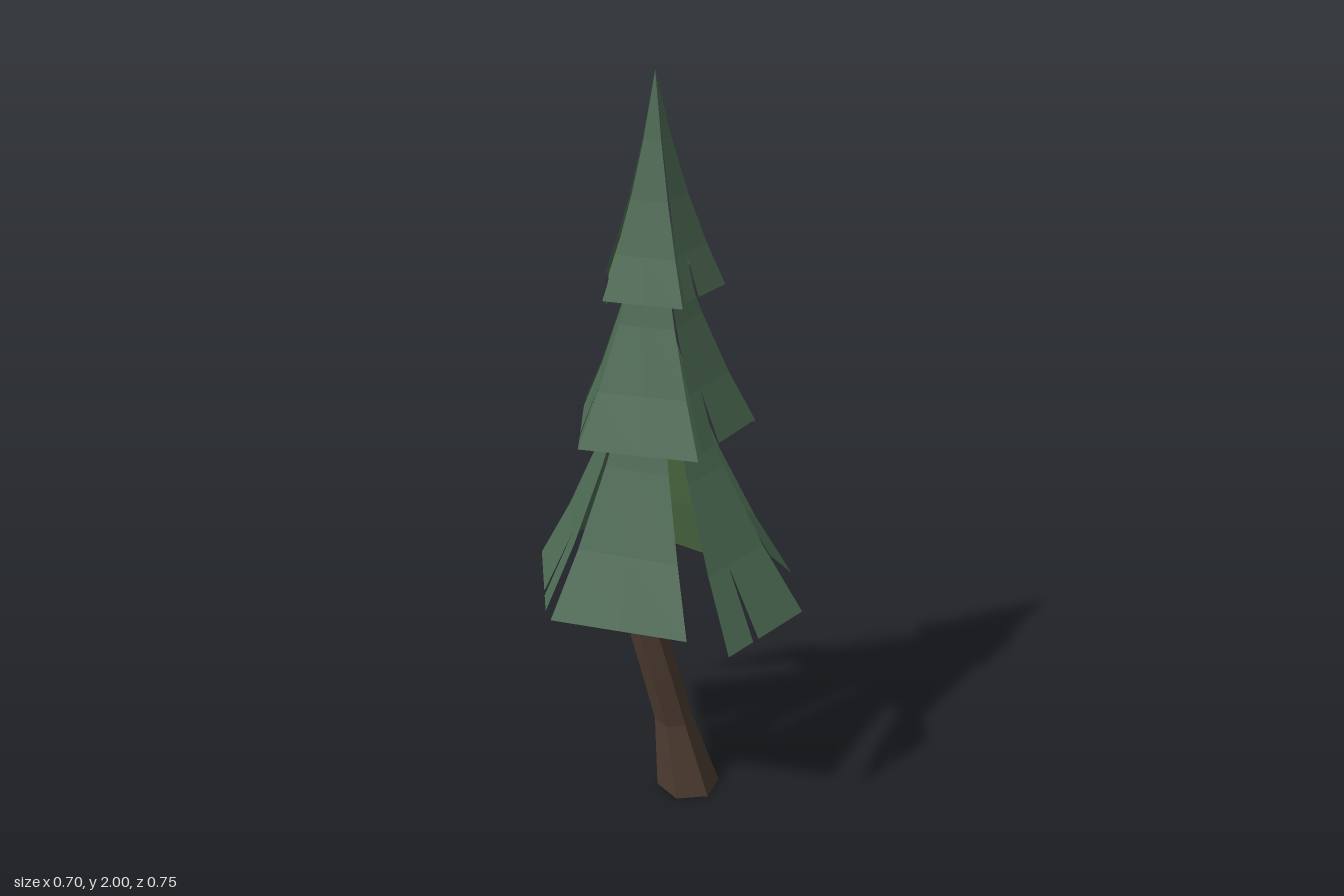
import * as THREE from 'three';

const paint = (color, extra = {}) =>
  new THREE.MeshStandardMaterial({ color, flatShading: true, ...extra });

// Trunk rings: [x, y, z, radius]
const RINGS = [
  [0.07, 0, 0.075, 0.088], [0.053, 0.2, 0.028, 0.053], [0.025, 0.35, 0.002, 0.052],
  [-0.005, 0.52, -0.036, 0.05], [-0.038, 0.67, -0.042, 0.043], [-0.005, 0.87, -0.035, 0.034],
  [0.005, 1.12, -0.02, 0.026], [0.012, 1.5, -0.012, 0.016], [0.015, 1.88, -0.01, 0.005],
];

function trunkGeometry() {
  const n = RINGS.length - 1;
  const geo = new THREE.CylinderGeometry(1, 1, 1, 6, n);
  const p = geo.attributes.position;
  for (let i = 0; i < p.count; i++) {
    const [x, y, z, r] = RINGS[Math.round((p.getY(i) + 0.5) * n)];
    p.setXYZ(i, x + p.getX(i) * r, y, z + p.getZ(i) * r);
  }
  geo.computeVertexNormals();
  return geo;
}

// One drooping bough: fans out from the apex to the edge left-right.
// slit is its place along the lower edge (0..1), if there is one.
const ROWS = [[0, 0], [0.3, 0.22], [0.56, 0.46], [0.8, 0.73], [1, 1]]; // [drop, spread]

function boughGeometry(apex, left, right, slit) {
  const us = slit === undefined ? [0, 0.5, 1] : [0, slit, slit, 1];
  const pos = [], index = [];
  const n = us.length;
  ROWS.forEach(([drop, spread], j) => {
    us.forEach((u, i) => {
      // The slit opens only in the last row
      const open = slit !== undefined && j === ROWS.length - 1 ? [0, -0.035, 0.035, 0][i] : 0;
      const k = u + open;
      const e = left.map((v, a) => v + (right[a] - v) * k);
      pos.push(
        apex[0] + (e[0] - apex[0]) * spread,
        apex[1] + (e[1] - apex[1]) * drop,
        apex[2] + (e[2] - apex[2]) * spread
      );
      if (j > 0 && i > 0 && !(slit !== undefined && i === 2)) {
        const d = j * n + i, c = d - 1, b = d - n, a = b - 1;
        if (j > 1) index.push(a, d, b);
        index.push(a, c, d);
      }
    });
  });
  const geo = new THREE.BufferGeometry();
  geo.setAttribute('position', new THREE.Float32BufferAttribute(pos, 3));
  geo.setIndex(index);
  geo.computeVertexNormals();
  return geo;
}

// Each bough: left corner, right corner, slit, whether it is a lighter green
const TIERS = [
  { name: 'lowerBough', apex: [0.01, 1.5, -0.01], boughs: [
    [[-0.04, 0.6, 0.372], [0.237, 0.62, 0.337], 0.36],
    [[-0.352, 0.66, 0.035], [-0.115, 0.635, 0.295]],
    [[-0.145, 0.64, -0.32], [-0.318, 0.64, -0.04], 0.71],
    [[0.275, 0.66, -0.28], [-0.053, 0.64, -0.375]],
    [[0.305, 0.59, 0.01], [0.195, 0.6, -0.31], undefined, true],
    [[0.305, 0.66, 0.215], [0.352, 0.665, -0.098], 0.37],
  ] },
  { name: 'middleBough', apex: [0.013, 1.77, -0.01], boughs: [
    [[-0.015, 1.1, 0.22], [0.215, 1.11, 0.152], 0.28],
    [[-0.242, 1.1, 0.012], [-0.037, 1.09, 0.235]],
    [[-0.055, 1.09, -0.23], [-0.23, 1.09, -0.005], 0.7],
    [[0.21, 1.11, -0.155], [-0.022, 1.09, -0.272]],
    [[0.218, 1.1, 0.152], [0.26, 1.11, -0.122], 0.4],
  ] },
  { name: 'upperBough', apex: [0.015, 2, -0.01], boughs: [
    [[-0.012, 1.47, 0.145], [0.15, 1.475, 0.1], 0.3],
    [[-0.16, 1.47, 0.01], [-0.025, 1.46, 0.153]],
    [[-0.025, 1.47, -0.152], [-0.14, 1.455, 0], 0.7, true],
    [[0.14, 1.475, -0.105], [-0.015, 1.46, -0.185]],
    [[0.145, 1.47, 0.088], [0.175, 1.475, -0.082], 0.4, true],
  ] },
];

export function createModel() {
  const tree = new THREE.Group();
  tree.name = 'tree';

  const add = (name, geo, mat) => {
    const mesh = new THREE.Mesh(geo, mat);
    mesh.name = name;
    tree.add(mesh);
    return mesh;
  };

  add('trunk', trunkGeometry(), paint(0x4b3a2f));

  // Thin pale seams round the trunk
  for (const [x, y, z, r] of [RINGS[4], RINGS[5]]) {
    add('trunkSeam', new THREE.CylinderGeometry(r + 0.001, r + 0.001, 0.006, 6), paint(0xcccccc))
      .position.set(x, y, z);
  }

  const green = paint(0x4c6a53, { side: THREE.DoubleSide });
  const lightGreen = paint(0x55774a, { side: THREE.DoubleSide });
  for (const { name, apex, boughs } of TIERS) {
    for (const [left, right, slit, light] of boughs) {
      add(name, boughGeometry(apex, left, right, slit), light ? lightGreen : green);
    }
  }
  return tree;
}
